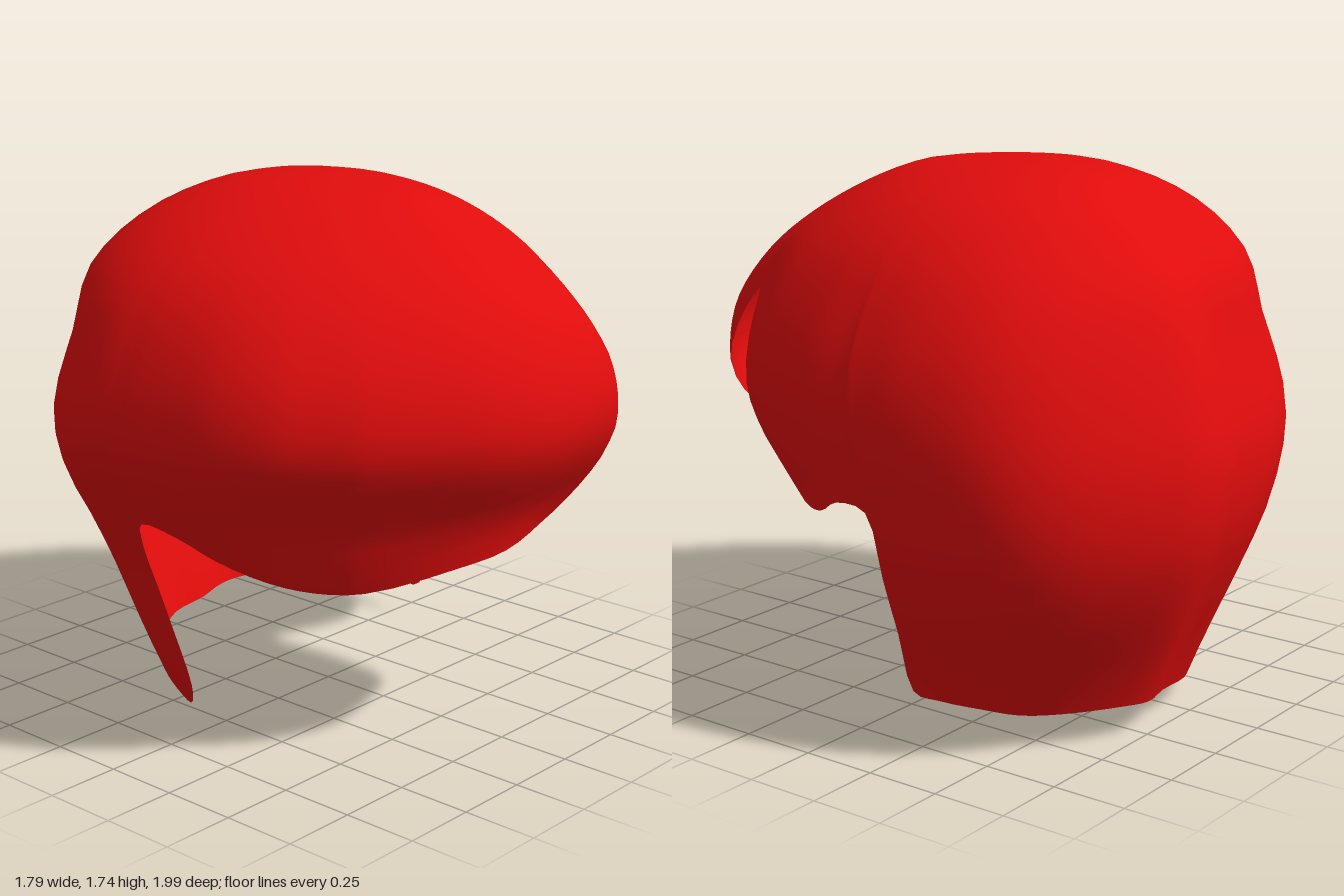
import * as THREE from 'three';
import { mergeVertices } from 'three/addons/utils/BufferGeometryUtils.js';

const TOP = 1.74;

// Extents of the cap by height: y, left x, right x, back z, front z
const LEVELS = [
  [0, -.48, .62, -.7, .66], [.2, -.56, .69, -.78, .71], [.47, -.64, .81, -.91, .75],
  [.65, -.72, .86, -.98, .81], [.78, -.8, .88, -1, .85], [.92, -.87, .89, -1, .95],
  [1.05, -.9, .885, -.965, 1], [1.22, -.86, .84, -.9, .97], [1.4, -.77, .745, -.81, .86],
  [1.53, -.65, .64, -.68, .7], [1.64, -.47, .49, -.54, .49], [1.71, -.28, .3, -.38, .29],
  [1.735, -.13, .13, -.23, .06], [TOP, 0, 0, -.1, -.1],
];

// Lower rim, anticlockwise from the front: outline x (-1..1), height, outline z (-1..1)
const RIM = [
  // fringe rising to the parting
  [.03, .72, .99], [.26, .81, .97], [.42, .95, .9], [.53, 1.15, .78], [.6, 1.3, .68],
  // left lock and ear cut
  [.68, 1.22, .6], [.8, 1.04, .49], [.86, .9, .41], [.92, .73, .27], [.95, .72, .18],
  [.98, .77, .07], [.99, .76, -.06], [1, .55, -.1], [1, .35, -.13], [1, .13, -.16],
  // nape
  [1, .12, -.3], [.96, .12, -.51], [.88, .11, -.66], [.73, .11, -.8], [.45, .11, -.96],
  [.28, .1, -1], [.05, .09, -.96], [-.22, .08, -.94], [-.48, .06, -.83], [-.68, .05, -.68],
  [-.84, .04, -.52], [-.94, .02, -.37], [-.99, 0, -.25], [-1, .06, -.18],
  // right ear cut and low side of the fringe
  [-1, .16, -.14], [-1, .4, -.11], [-1, .62, -.08], [-1, .72, -.02], [-.99, .71, .15],
  [-.97, .66, .3], [-.9, .61, .47], [-.8, .58, .59], [-.68, .58, .71], [-.4, .64, .89],
  [-.18, .67, .97],
];

// Smooth the level table, then look it up by height
function makeProfile() {
  const spline = (a, b) => new THREE.CatmullRomCurve3(
    LEVELS.map((l) => new THREE.Vector3(l[a], l[0], l[b])), false, 'catmullrom', 0.5);
  const xs = spline(1, 2), zs = spline(3, 4), n = 260, table = [];
  for (let i = 0; i <= n; i++) {
    const p = xs.getPoint(i / n), q = zs.getPoint(i / n);
    table.push([p.y, p.x, p.z, q.x, q.z]);
  }
  return (y) => {
    let i = 1;
    while (i < n && table[i][0] < y) i++;
    const a = table[i - 1], b = table[i];
    const t = THREE.MathUtils.clamp((y - a[0]) / (b[0] - a[0] || 1), 0, 1);
    return a.map((v, k) => v + (b[k] - v) * t);
  };
}

function hairGeometry() {
  const { smoothstep, lerp } = THREE.MathUtils;
  const profile = makeProfile();
  const rim = new THREE.CatmullRomCurve3(RIM.map((p) => new THREE.Vector3(...p)), true);
  const cols = RIM.length * 3, rows = 26, pos = [], index = [];
  for (let i = 0; i < cols; i++) {
    const r = rim.getPoint(i / cols), len = Math.hypot(r.x, r.z), y0 = Math.max(0, r.y);
    // crown outline: fuller at the back corners, slimmer at the front ones
    const crown = 1 - 0.14 * Math.abs(r.x) * r.z / (len * len);
    // the right front corner of the fringe bulges as it curls under
    const bulge = 0.16 * Math.max(0, -r.x) * Math.max(0, r.z);
    for (let j = 0; j <= rows; j++) {
      const y = y0 + (TOP - y0) * Math.sin((j / rows) * Math.PI / 2);
      const [, x0, x1, z0, z1] = profile(y);
      // the dent at the parting fades out towards the crown
      const k = lerp(1, crown / len, smoothstep(y, 1.2, 1.62))
        + bulge * (1 - smoothstep(y, 0.58, 0.95));
      pos.push((x0 + x1) / 2 + (x1 - x0) / 2 * r.x * k, y,
        (z0 + z1) / 2 + (z1 - z0) / 2 * r.z * k);
      if (j < rows) {
        const a = i * (rows + 1) + j, b = ((i + 1) % cols) * (rows + 1) + j;
        index.push(a, b, b + 1);
        if (j < rows - 1) index.push(a, b + 1, a + 1);
      }
    }
  }
  let geo = new THREE.BufferGeometry();
  geo.setAttribute('position', new THREE.Float32BufferAttribute(pos, 3));
  geo.setIndex(index);
  geo = mergeVertices(geo, 1e-5);
  geo.computeVertexNormals();
  return geo;
}

export function createModel() {
  const group = new THREE.Group();
  group.name = 'hairpiece';
  const red = new THREE.MeshStandardMaterial({ color: 0xe00c0c, side: THREE.DoubleSide });
  red.name = 'red';
  const hair = new THREE.Mesh(hairGeometry(), red);
  hair.name = 'hairShell';
  group.add(hair);
  return group;
}
